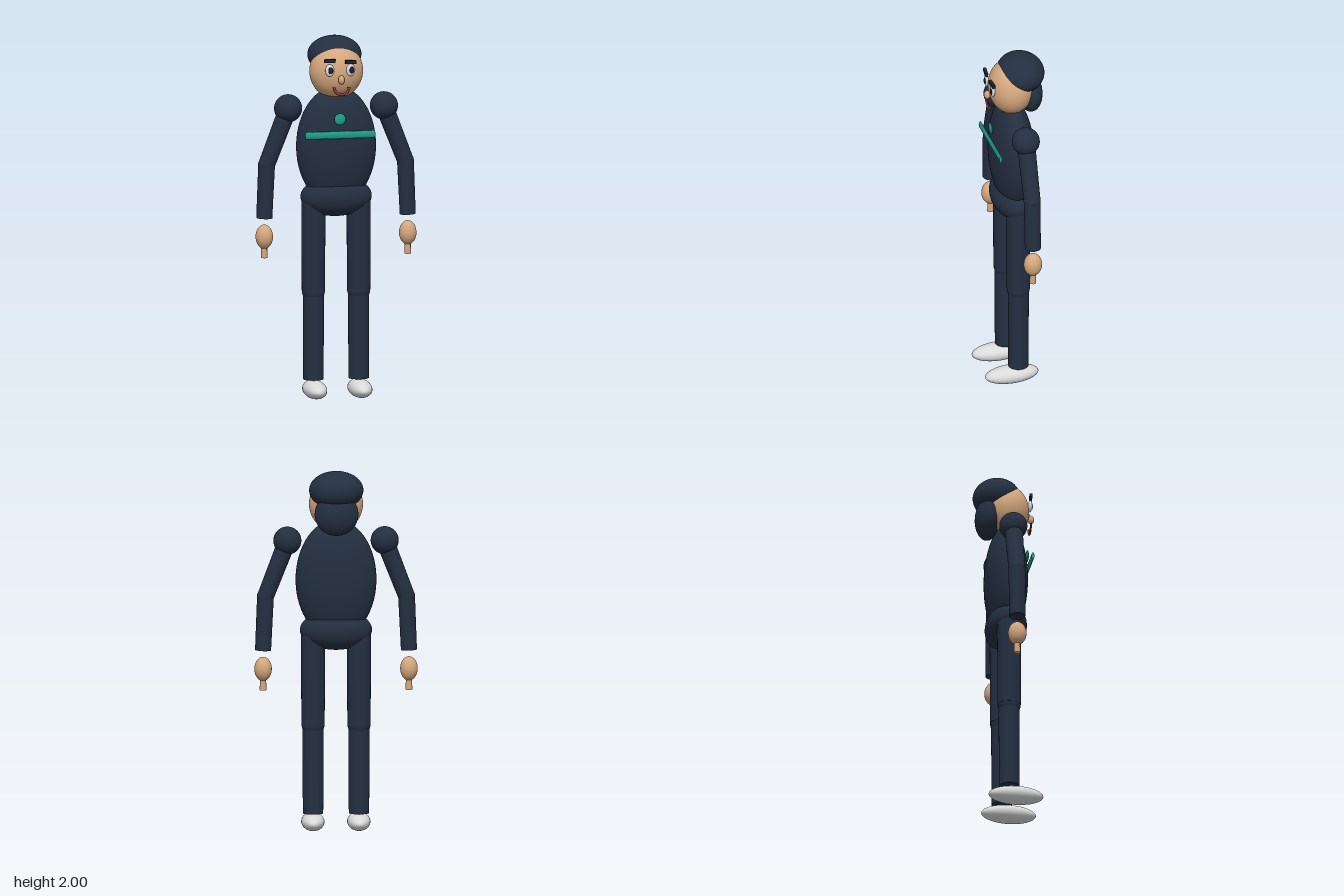
import * as THREE from 'three';

const material = (name, color) => {
  const m = new THREE.MeshStandardMaterial({ color });
  m.name = name;
  return m;
};

export function createModel() {
  const navy = material('navy cloth', 0x232f40);
  const skin = material('skin', 0xd6a87e);
  const teal = material('teal trim', 0x1f9e8c);
  const shoeGrey = material('shoe grey', 0xdadada);
  const eyeWhite = material('eye white', 0xe6eaf0);
  const dark = material('dark', 0x1b2230);
  const lip = material('lip', 0x8a3f30);

  const model = new THREE.Group();
  model.name = 'figure';

  const add = (parent, name, geometry, mat, pos = [0, 0, 0]) => {
    const mesh = new THREE.Mesh(geometry, mat);
    mesh.name = name;
    mesh.position.set(...pos);
    parent.add(mesh);
    return mesh;
  };
  const ellipsoid = (parent, name, mat, pos, radii, seg = 36) => {
    const mesh = add(parent, name, new THREE.SphereGeometry(1, seg, Math.ceil(seg * 0.67)), mat, pos);
    mesh.scale.set(...radii);
    return mesh;
  };
  // Tapered round limb between two points
  const limb = (parent, name, mat, from, to, rFrom, rTo, sides = 28) => {
    const a = new THREE.Vector3(...from), b = new THREE.Vector3(...to);
    const dir = b.clone().sub(a);
    const mesh = add(parent, name, new THREE.CylinderGeometry(rTo, rFrom, dir.length(), sides), mat,
      a.clone().add(b).multiplyScalar(0.5).toArray());
    mesh.quaternion.setFromUnitVectors(new THREE.Vector3(0, 1, 0), dir.normalize());
    return mesh;
  };

  // Body
  ellipsoid(model, 'torso', navy, [0, 1.395, -0.003], [0.222, 0.33, 0.118], 48);
  ellipsoid(model, 'pelvis', navy, [0, 1.115, -0.003], [0.198, 0.11, 0.113], 40);

  // Chest trim
  const band = add(model, 'chestBand', new THREE.CylinderGeometry(0.021, 0.021, 0.39, 12), teal, [0, 1.473, 0.116]);
  band.rotation.z = Math.PI / 2;
  band.scale.z = 0.4;
  ellipsoid(model, 'chestBadge', teal, [0, 1.56, 0.116], [0.033, 0.033, 0.009], 10);

  // Head and hair
  const head = new THREE.Group();
  head.name = 'head';
  model.add(head);
  ellipsoid(head, 'face', skin, [0, 1.812, 0], [0.148, 0.153, 0.125], 48);
  ellipsoid(head, 'hairCap', navy, [0, 1.895, -0.054], [0.149, 0.105, 0.131], 48);
  ellipsoid(head, 'backHair', navy, [0, 1.767, -0.103], [0.12, 0.118, 0.07], 40);
  ellipsoid(head, 'nose', skin, [0.004, 1.782, 0.137], [0.018, 0.025, 0.018], 16);
  const mouth = add(head, 'mouth', new THREE.TorusGeometry(0.042, 0.008, 10, 28, Math.PI), lip, [0.006, 1.742, 0.131]);
  mouth.rotation.z = Math.PI;
  mouth.scale.z = 0.7;

  // Mirrored parts
  for (const s of [1, -1]) {
    const side = s > 0 ? 'left' : 'right';
    const group = (part) => {
      const g = new THREE.Group();
      g.name = side + part;
      model.add(g);
      return g;
    };

    // Eye and brow
    const eye = group('Eye');
    ellipsoid(eye, 'eyeball', eyeWhite, [s * 0.059, 1.834, 0.122], [0.025, 0.034, 0.012], 24);
    ellipsoid(eye, 'pupil', dark, [s * 0.059 + 0.005, 1.835, 0.133], [0.014, 0.019, 0.005], 18);
    const brow = add(eye, 'brow', new THREE.BoxGeometry(0.062, 0.02, 0.016), dark,
      [s * 0.058, s > 0 ? 1.878 : 1.888, 0.126]);
    brow.rotation.y = s * 0.1;
    brow.rotation.z = -0.05;

    // Arm
    const arm = group('Arm');
    const z = -0.005;
    const shoulder = [s * 0.267, 1.61, z], elbow = [s * 0.387, 1.3, z], wrist = [s * 0.4, 1.004, z];
    ellipsoid(arm, 'shoulder', navy, shoulder, [0.077, 0.077, 0.077]);
    limb(arm, 'upperArm', navy, shoulder, elbow, 0.05, 0.046);
    ellipsoid(arm, 'elbow', navy, elbow, [0.047, 0.047, 0.047], 24);
    limb(arm, 'forearm', navy, elbow, wrist, 0.046, 0.044);
    ellipsoid(arm, 'hand', skin, [s * 0.4, 0.9, z], [0.048, 0.067, 0.051], 24);
    limb(arm, 'fingers', skin, [s * 0.4, 0.86, z], [s * 0.4, 0.783, z], 0.016, 0.019, 8);

    // Leg
    const leg = group('Leg');
    const x = s * 0.126;
    limb(leg, 'thigh', navy, [x, 1.09, z], [x, 0.592, z], 0.066, 0.064);
    ellipsoid(leg, 'knee', navy, [x, 0.59, z], [0.063, 0.063, 0.063], 28);
    limb(leg, 'shin', navy, [x, 0.59, z], [x, 0.1, z], 0.058, 0.056);
    ellipsoid(leg, 'shoe', shoeGrey, [x, 0.049, 0.033], [0.064, 0.049, 0.152], 32);
  }
  return model;
}
